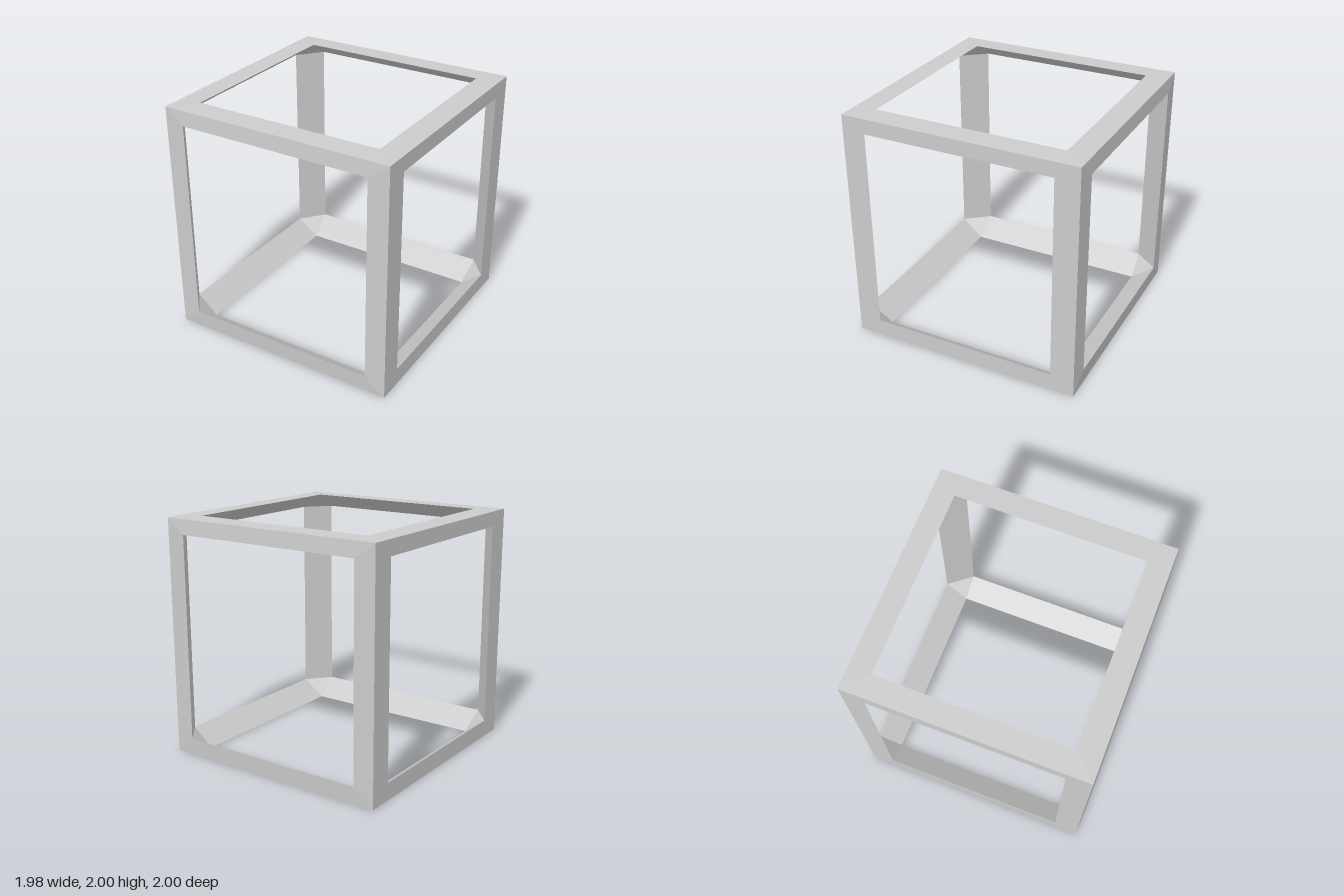
import * as THREE from 'three';

const CENTRE = new THREE.Vector3(0, 1, 0);
const AXES = ['x', 'y', 'z'];

// Outer corner of the cube; s holds the sign on each axis
const corner = (s) => new THREE.Vector3(0.99 * s[0], s[1] > 0 ? 1.995 : 0, 0.99 * s[2]);

// Corner of the window in the face across the given axis
function rim(axis, s) {
  const y = s[1] > 0 ? 1.87 : 0.145;
  if (axis === 0) return new THREE.Vector3(0.99 * s[0], y, 0.79 * s[2]);
  if (axis === 1) return new THREE.Vector3(0.8 * s[0], s[1] > 0 ? 2 : 0, 0.8 * s[2]);
  return new THREE.Vector3(0.82 * s[0], y, s[2]);
}

// Add a triangle or quad that faces away from the centre (outward) or towards it
function addFace(out, pts, outward) {
  const n = pts[1].clone().sub(pts[0]).cross(pts[2].clone().sub(pts[0]));
  const p = outward ? pts : [...pts];
  if ((n.dot(pts[0].clone().sub(CENTRE)) > 0) !== outward) p.reverse();
  for (let i = 1; i < p.length - 1; i++) {
    for (const v of [p[0], p[i], p[i + 1]]) out.push(v.x, v.y, v.z);
  }
}

function makeMesh(name, positions, material) {
  const geometry = new THREE.BufferGeometry();
  geometry.setAttribute('position', new THREE.Float32BufferAttribute(positions, 3));
  geometry.computeVertexNormals();
  const mesh = new THREE.Mesh(geometry, material);
  mesh.name = name;
  return mesh;
}

export function createModel() {
  const group = new THREE.Group();
  group.name = 'cubeFrame';
  const material = new THREE.MeshStandardMaterial({ color: 0xcccccc, flatShading: true });

  // Twelve three-sided beams: two mitred outer faces and one bevelled inner face
  for (let a = 0; a < 3; a++) {
    const b = (a + 1) % 3, c = (a + 2) % 3;
    for (const sb of [-1, 1]) for (const sc of [-1, 1]) {
      const s0 = [], s1 = [];
      s0[a] = -1; s1[a] = 1;
      s0[b] = s1[b] = sb;
      s0[c] = s1[c] = sc;
      const out = [];
      for (const f of [b, c]) addFace(out, [corner(s0), corner(s1), rim(f, s1), rim(f, s0)], true);
      addFace(out, [rim(b, s0), rim(b, s1), rim(c, s1), rim(c, s0)], false);
      group.add(makeMesh(`${AXES[a]}Beam`, out, material));
    }
  }

  // Eight triangular gussets closing the inside of each corner
  for (const x of [-1, 1]) for (const y of [-1, 1]) for (const z of [-1, 1]) {
    const out = [];
    addFace(out, [0, 1, 2].map((axis) => rim(axis, [x, y, z])), false);
    group.add(makeMesh('cornerGusset', out, material));
  }
  return group;
}
